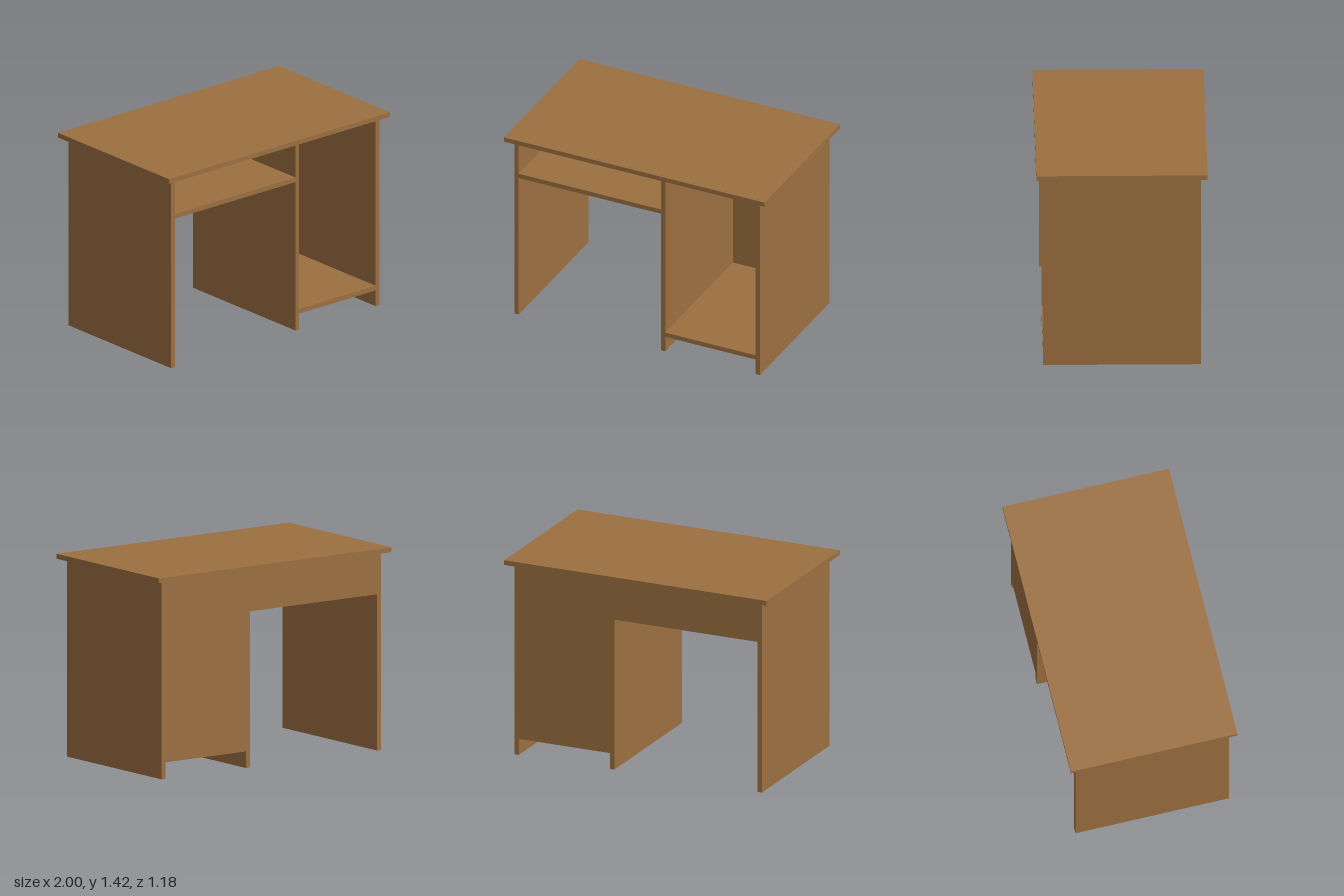
import * as THREE from 'three';

export function createModel() {
  const desk = new THREE.Group();
  desk.name = 'desk';
  const wood = new THREE.MeshStandardMaterial({ color: 0x9c7040 });
  wood.name = 'brown wood';

  // Board given by its extents along each axis
  function board(name, [x0, x1], [y0, y1], [z0, z1]) {
    const mesh = new THREE.Mesh(new THREE.BoxGeometry(x1 - x0, y1 - y0, z1 - z0), wood);
    mesh.position.set((x0 + x1) / 2, (y0 + y1) / 2, (z0 + z1) / 2);
    mesh.name = name;
    desk.add(mesh);
  }

  const t = 0.034; // board thickness
  const underTop = 1.386;
  const depth = [-0.545, 0.545];
  const back = [-0.545, -0.545 + t];
  const inside = [-0.545 + t, 0.545];

  board('desktop', [-1, 1], [underTop, 1.42], [-0.59, 0.59]);

  // Upright panels
  const uprights = { rightSide: -0.943, divider: 0.182, leftSide: 0.909 };
  for (const [name, x] of Object.entries(uprights)) {
    board(name, [x, x + t], [0, underTop], depth);
  }

  // Shelf and back panel for each bay
  const drawerBay = [uprights.rightSide + t, uprights.divider];
  const cabinetBay = [uprights.divider + t, uprights.leftSide];
  board('upperShelf', drawerBay, [1.094, 1.128], inside);
  board('upperBack', drawerBay, [1.094, underTop], back);
  board('cabinetFloor', cabinetBay, [0.116, 0.15], inside);
  board('cabinetBack', cabinetBay, [0.116, underTop], back);

  return desk;
}
